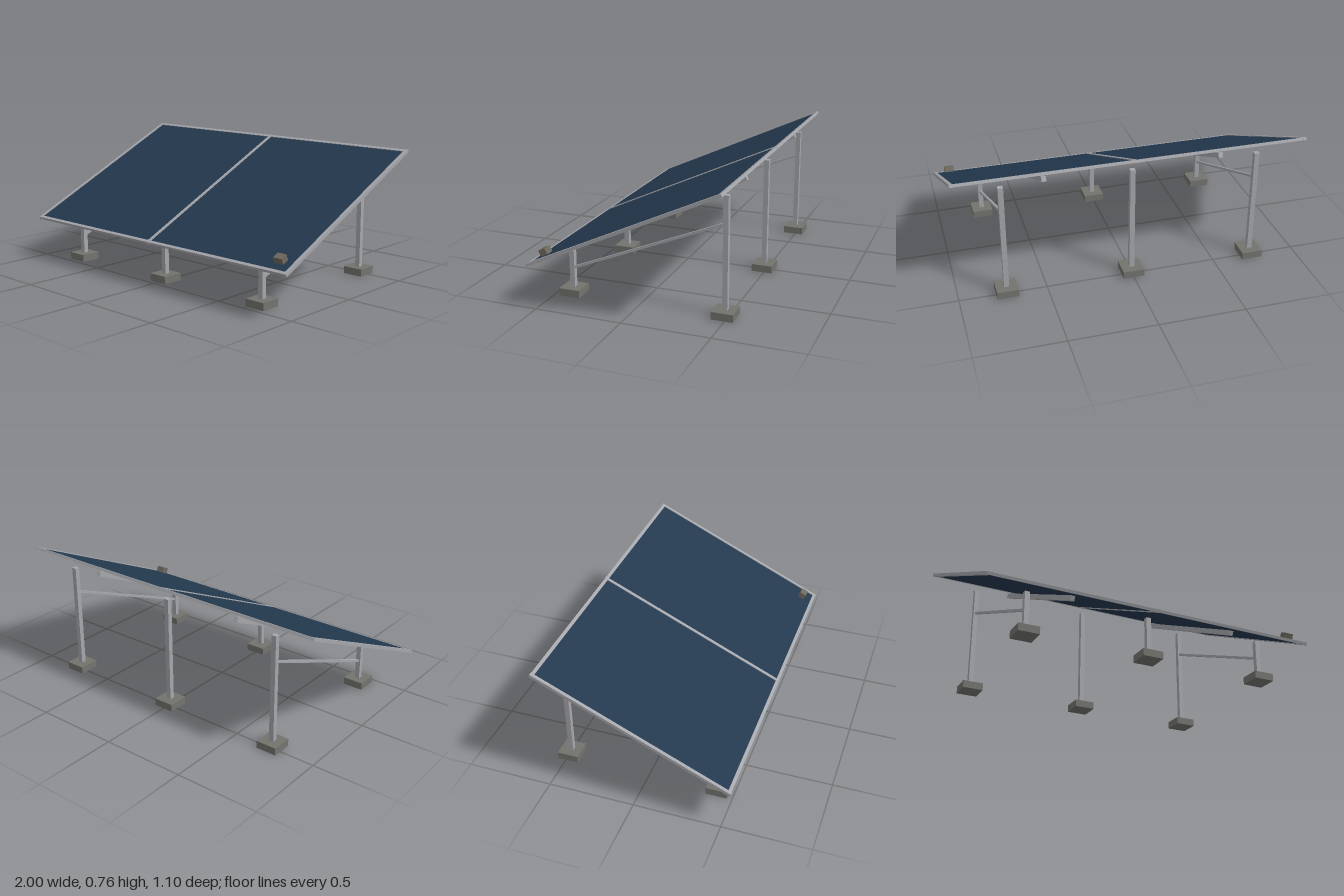
import * as THREE from 'three';

export function createModel() {
  const mat = (name, color) => {
    const m = new THREE.MeshStandardMaterial({ color });
    m.name = name;
    return m;
  };
  const metal = mat('galvanised metal', 0xa6a7ac);
  const glass = mat('dark blue cells', 0x24394f);
  const concrete = mat('concrete', 0x73736e);
  const housing = mat('grey housing', 0x6e6a60);

  const box = (parent, name, material, size, position) => {
    const mesh = new THREE.Mesh(new THREE.BoxGeometry(...size), material);
    mesh.name = name;
    mesh.position.set(...position);
    parent.add(mesh);
    return mesh;
  };

  const model = new THREE.Group();
  model.name = 'solarArray';

  // Tilted assembly: local y is the panel normal, local +z runs down the slope
  const panel = new THREE.Group();
  panel.name = 'tiltedPanel';
  panel.position.y = 0.5;
  panel.rotation.x = THREE.MathUtils.degToRad(25);
  model.add(panel);

  for (const s of [-1, 1]) {
    box(panel, 'cellPanel', glass, [0.98, 0.009, 1.18], [s * 0.494, 0, 0]);
    box(panel, 'crossFrame', metal, [1.97, 0.016, 0.019], [0, 0, s * 0.5925]);
    box(panel, 'supportRail', metal, [0.026, 0.029, 1.118], [s * 0.5, -0.031, 0]);
  }
  // Side frames and the centre divider
  for (const x of [-0.99, 0, 0.99]) {
    box(panel, 'sideFrame', metal, [0.02, 0.018, 1.208], [x, 0, 0]);
  }
  // Small sensor box on the lower left corner
  box(panel, 'sensorBox', housing, [0.057, 0.036, 0.043], [0.907, 0.025, 0.517]);

  // Posts on concrete footings
  const frontZ = 0.409, backZ = -0.486;
  for (const x of [-0.73, 0, 0.73]) {
    for (const [name, z, top] of [['front', frontZ, 0.258], ['back', backZ, 0.675]]) {
      box(model, name + 'Footing', concrete, [0.122, 0.043, 0.122], [x, 0.0215, z]);
      box(model, name + 'Post', metal, [0.029, top - 0.02, 0.029], [x, (top + 0.02) / 2, z]);
    }
  }

  // Diagonal braces between the outer posts
  const low = 0.153, high = 0.521;
  const run = frontZ - backZ, rise = high - low;
  for (const x of [-0.73, 0.73]) {
    const brace = box(model, 'diagonalBrace', metal, [0.014, 0.014, Math.hypot(run, rise)],
      [x, (low + high) / 2, (frontZ + backZ) / 2]);
    brace.rotation.x = Math.atan2(rise, run);
  }
  return model;
}
